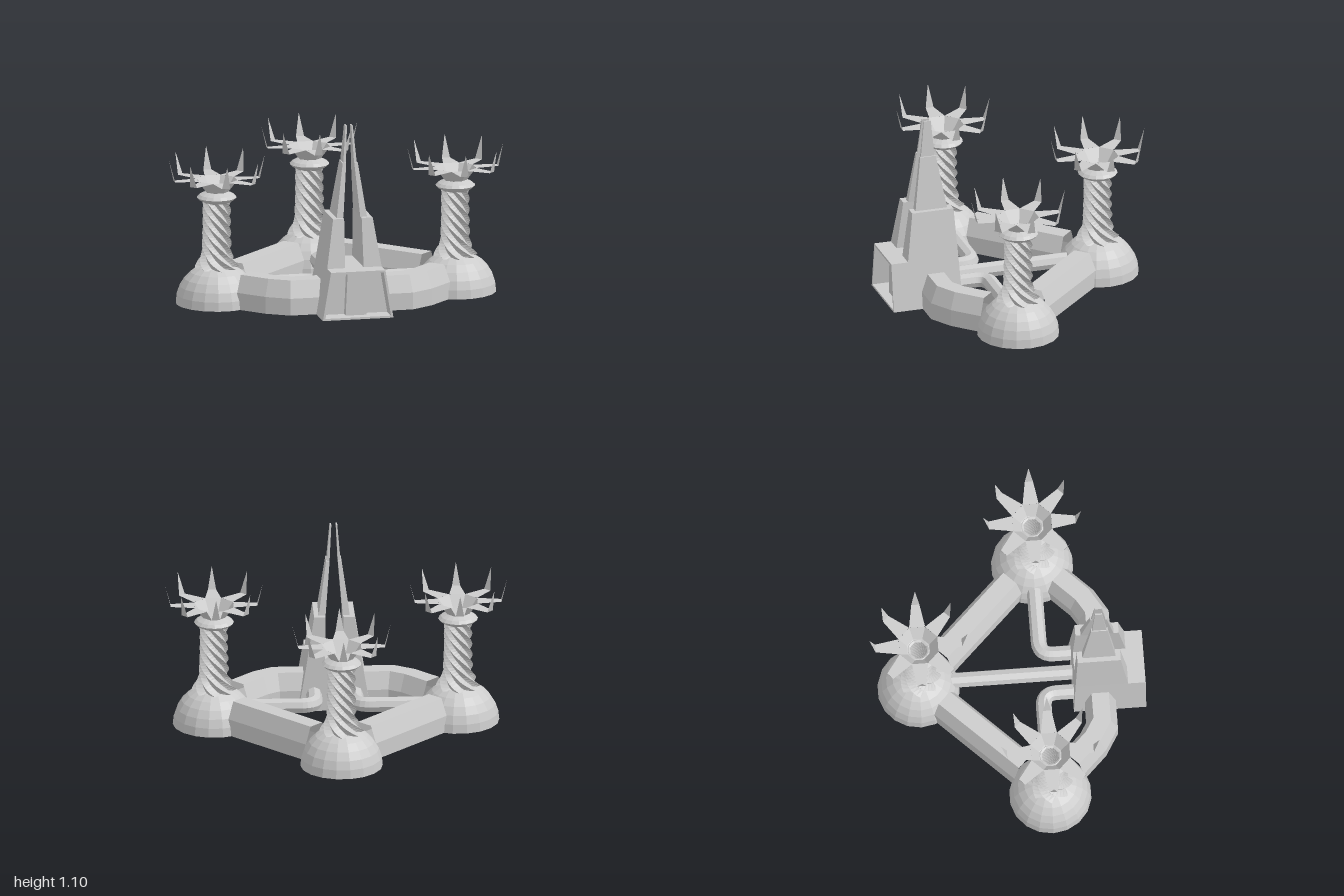
import * as THREE from 'three';

const material = new THREE.MeshStandardMaterial({ color: 0xcccccc, flatShading: true, side: THREE.DoubleSide });

function add(parent, name, geometry) {
  const flat = geometry.index ? geometry.toNonIndexed() : geometry;
  flat.computeVertexNormals();
  const mesh = new THREE.Mesh(flat, material);
  mesh.name = name;
  parent.add(mesh);
  return mesh;
}

// Skin a list of rings; closed rings wrap round and get end caps
function loft(rings, closed) {
  const n = rings[0].length, index = [];
  for (let i = 0; i < rings.length - 1; i++) {
    for (let j = 0; j < (closed ? n : n - 1); j++) {
      const k = (j + 1) % n, a = i * n, b = a + n;
      index.push(a + j, a + k, b + k, a + j, b + k, b + j);
    }
  }
  if (closed) {
    const t = (rings.length - 1) * n;
    for (let j = 1; j < n - 1; j++) index.push(0, j + 1, j, t, t + j, t + j + 1);
  }
  const geometry = new THREE.BufferGeometry();
  geometry.setAttribute('position', new THREE.Float32BufferAttribute(rings.flat(2), 3));
  geometry.setIndex(index);
  return geometry;
}

// Tapered block from levels [y, x0, x1, z0, z1]; side -1 mirrors it
function block(levels, side = 1) {
  return loft(levels.map(([y, a, b, z0, z1]) => {
    const x0 = Math.min(a * side, b * side), x1 = Math.max(a * side, b * side);
    return [[x0, y, z1], [x1, y, z1], [x1, y, z0], [x0, y, z0]];
  }), true);
}

// Wall with bevelled shoulders along a path of [x, z] points
function wall(path) {
  const profile = [[-0.09, 0], [-0.09, 0.1], [-0.05, 0.2], [0.05, 0.2], [0.09, 0.1], [0.09, 0]];
  const dirs = path.slice(1).map((p, i) => new THREE.Vector2(p[0] - path[i][0], p[1] - path[i][1]).normalize());
  return loft(path.map(([x, z], i) => {
    const before = dirs[Math.max(i - 1, 0)], after = dirs[Math.min(i, dirs.length - 1)];
    const d = before.clone().add(after).normalize();
    const mitre = 1 / d.dot(after);
    return profile.map(([o, y]) => [x - d.y * o * mitre, y, z + d.x * o * mitre]);
  }), false);
}

// Eight-ridged column, twisted and flared at the foot
function twistedColumn() {
  const y0 = 0.21, height = 0.41;
  const geometry = new THREE.CylinderGeometry(1, 1, height, 16, 28, true);
  const p = geometry.attributes.position;
  for (let i = 0; i < p.count; i++) {
    const t = p.getY(i) / height + 0.5;
    const angle = Math.atan2(p.getX(i), p.getZ(i));
    const ridge = 1 + 0.14 * Math.cos(8 * angle);
    const r = ridge * (0.073 + 0.035 * Math.max(0, 1 - t / 0.2) + 0.008 * Math.max(0, 1 - t / 0.6));
    const a = angle - t * Math.PI * 1.6;
    p.setXYZ(i, r * Math.sin(a), y0 + t * height, r * Math.cos(a));
  }
  return geometry;
}

function lathe(points, sides, turn = 0) {
  return new THREE.LatheGeometry(points.map(([x, y]) => new THREE.Vector2(x, y)), sides, turn);
}

function tower(x, z) {
  const group = new THREE.Group();
  group.name = 'tower';
  group.position.set(x, 0, z);
  add(group, 'dome', new THREE.SphereGeometry(0.24, 18, 6, 0, Math.PI * 2, 0.25, Math.PI / 2 - 0.25));
  add(group, 'twistedColumn', twistedColumn());
  add(group, 'collar', lathe([[0.07, 0.598], [0.1, 0.614], [0.116, 0.63], [0.1, 0.646], [0.06, 0.665]], 16));
  add(group, 'cup', lathe([[0.052, 0.655], [0.07, 0.665], [0.122, 0.735]], 8, Math.PI / 8));
  // Flat petals that bend up into pointed claws
  for (let i = 0; i < 8; i++) {
    const rings = [
      [[0.113, 0.735, 0.047], [0.113, 0.735, -0.047]],
      [[0.252, 0.735, 0.024], [0.252, 0.735, -0.024]],
      [[0.285, 0.865, 0.001], [0.285, 0.865, -0.001]],
    ];
    add(group, 'claw', loft(rings, false)).rotation.y = i * Math.PI / 4;
  }
  return group;
}

function pipe(curve, segments) {
  return new THREE.TubeGeometry(curve, segments, 0.046, 8, false);
}

function gatehouse() {
  const group = new THREE.Group();
  group.name = 'gatehouse';
  add(group, 'base', block([[0, -0.21, 0.21, 0.375, 0.695], [0.285, -0.162, 0.162, 0.388, 0.695]]));

  // Porch frame with a recessed entrance
  const frame = new THREE.Shape([[-0.21, 0], [0.21, 0], [0.162, 0.285], [-0.162, 0.285]]
    .map(([x, y]) => new THREE.Vector2(x, y)));
  frame.holes.push(new THREE.Path([[-0.195, 0.012], [-0.152, 0.272], [0.152, 0.272], [0.195, 0.012]]
    .map(([x, y]) => new THREE.Vector2(x, y))));
  const porch = new THREE.ExtrudeGeometry(frame, { depth: 0.105, bevelEnabled: false });
  porch.translate(0, 0, 0.692);
  add(group, 'porch', porch);
  add(group, 'door', block([[0.012, -0.062, 0.062, 0.69, 0.74], [0.272, -0.05, 0.05, 0.69, 0.74]]));

  // Split upper body and twin spires
  for (const side of [1, -1]) {
    add(group, 'upperBody', block([
      [0.285, 0.055, 0.162, 0.388, 0.695],
      [0.57, 0.052, 0.118, 0.403, 0.655]], side));
    add(group, 'spire', block([
      [0.57, 0.05, 0.09, 0.433, 0.626],
      [0.885, 0.024, 0.045, 0.488, 0.583],
      [0.886, 0.024, 0.04, 0.494, 0.577],
      [1.1, 0.013, 0.022, 0.511, 0.553]], side));
  }
  return group;
}

export function createModel() {
  const model = new THREE.Group();
  model.name = 'fortress';
  for (const [x, z] of [[0.71, 0.2], [-0.71, 0.2], [0, -0.515]]) model.add(tower(x, z));
  model.add(gatehouse());

  const pipeY = 0.1, v = (x, z) => new THREE.Vector3(x, pipeY, z);
  for (const s of [1, -1]) {
    add(model, 'backWall', wall([[0.57 * s, 0.06], [0.14 * s, -0.375]]));
    add(model, 'frontWall', wall([[0.57 * s, 0.34], [0.44 * s, 0.47], [0.34 * s, 0.53], [0.15 * s, 0.53]]));
    // Side pipe bending into the back of the gatehouse
    const path = new THREE.CurvePath();
    path.add(new THREE.LineCurve3(v(0.52 * s, 0.2), v(0.2 * s, 0.2)));
    path.add(new THREE.QuadraticBezierCurve3(v(0.2 * s, 0.2), v(0.12 * s, 0.2), v(0.12 * s, 0.28)));
    path.add(new THREE.LineCurve3(v(0.12 * s, 0.28), v(0.12 * s, 0.4)));
    add(model, 'sidePipe', pipe(path, 28));
  }
  add(model, 'centrePipe', pipe(new THREE.LineCurve3(v(0, -0.325), v(0, 0.4)), 1));
  return model;
}
